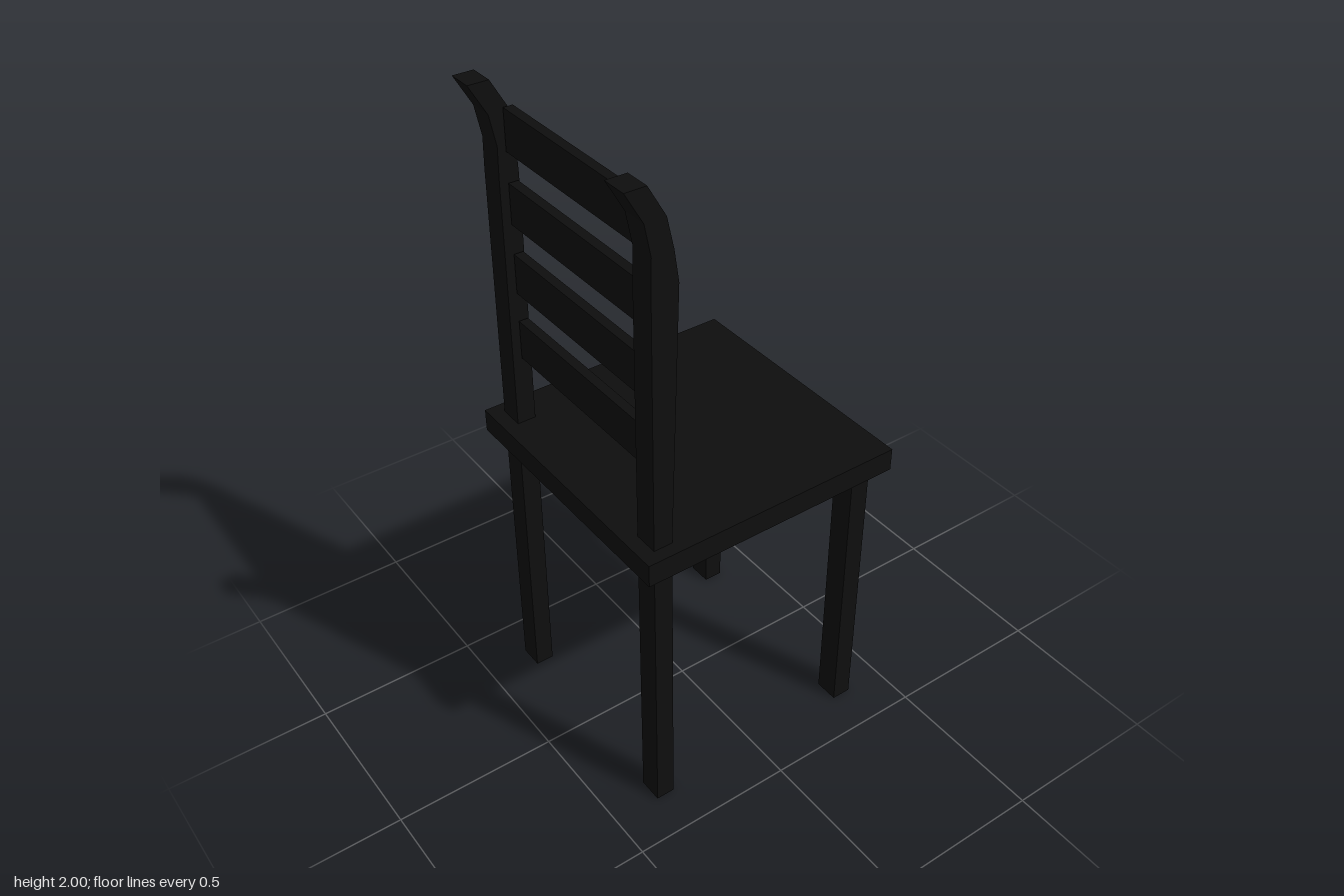
import * as THREE from 'three';

export function createModel() {
  const model = new THREE.Group();
  model.name = 'chair';
  const blackWood = new THREE.MeshStandardMaterial({ color: 0x0e0e0e });
  blackWood.name = 'blackWood';

  function add(name, geometry) {
    const mesh = new THREE.Mesh(geometry, blackWood);
    mesh.name = name;
    model.add(mesh);
    return mesh;
  }

  // Box given by its limits on each axis
  function block(name, x0, x1, y0, y1, z0, z1) {
    add(name, new THREE.BoxGeometry(x1 - x0, y1 - y0, z1 - z0))
      .position.set((x0 + x1) / 2, (y0 + y1) / 2, (z0 + z1) / 2);
  }

  // Seat
  block('seat', -0.4, 0.42, 0.89, 0.96, -0.41, 0.41);

  // Legs
  for (const [side, z] of [['left', -0.335], ['right', 0.334]]) {
    block(side + 'FrontLeg', 0.316, 0.376, 0, 0.89, z - 0.037, z + 0.037);
    block(side + 'BackLeg', -0.357, -0.3, 0, 0.89, z - 0.037, z + 0.037);
  }

  // Back posts, curling backwards at the top; one bulges a little more
  for (const [side, z, bulge] of [['left', -0.335, 0], ['right', 0.334, 0.02]]) {
    const profile = new THREE.Shape([
      [-0.357, 0.96], [-0.3, 0.96], [-0.297 + bulge, 1.73],
      [-0.3 + bulge * 0.5, 1.82], [-0.31, 1.91], [-0.361, 2],
      [-0.422, 2], [-0.371, 1.91], [-0.353, 1.82], [-0.355, 1.73],
    ].map(([x, y]) => new THREE.Vector2(x, y)));
    add(side + 'BackPost', new THREE.ExtrudeGeometry(profile, { depth: 0.074, bevelEnabled: false }))
      .position.z = z - 0.037;
  }

  // Four back slats
  for (let i = 0; i < 4; i++) {
    const y = 1.177 + i * 0.208;
    block('backSlat' + (i + 1), -0.331, -0.303, y, y + 0.12, -0.294, 0.294);
  }

  return model;
}
